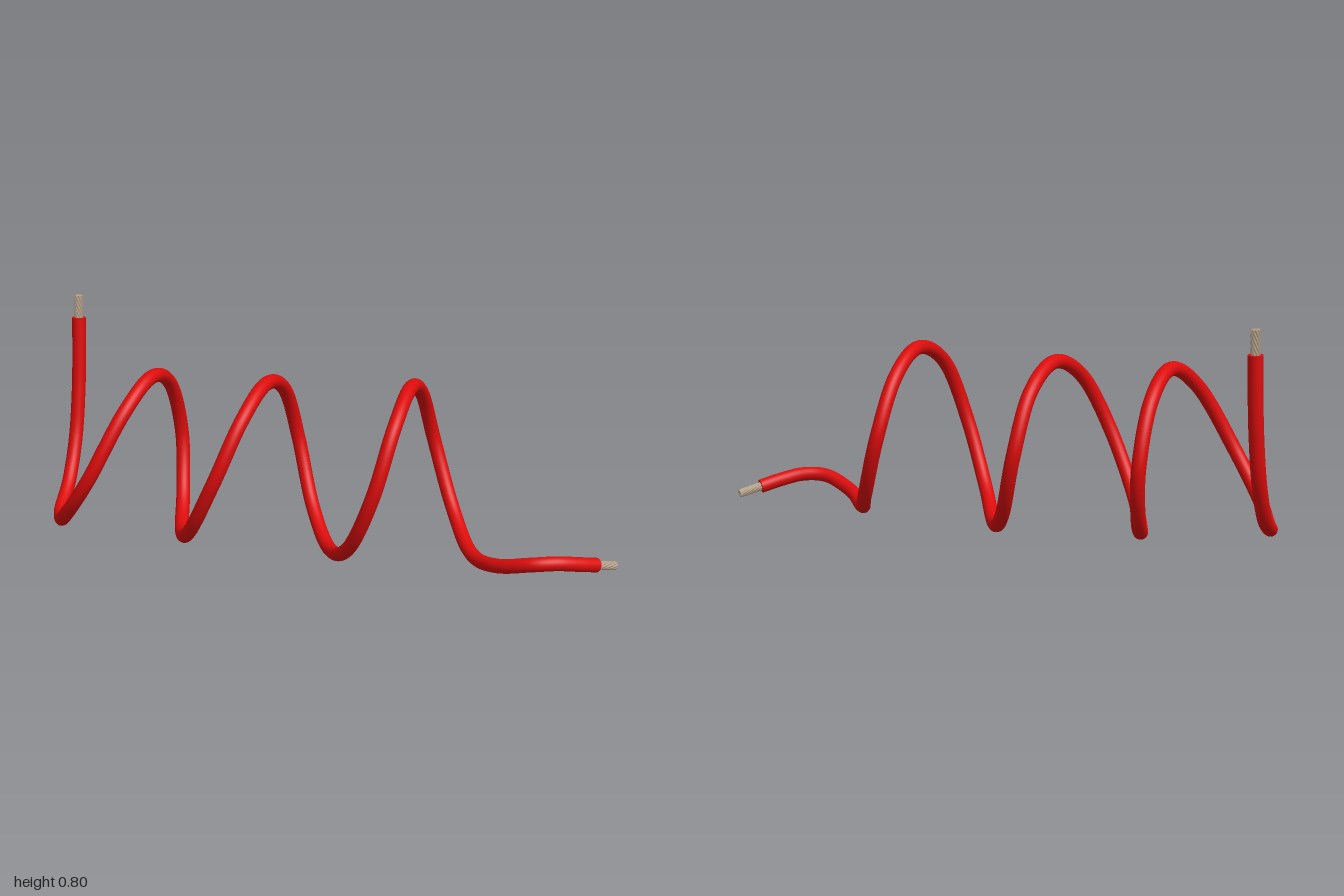
import * as THREE from 'three';

const SLEEVE_RADIUS = 0.0245;
const WIRE_RADIUS = 0.0155;

// Centre line of the cable: upright start, three coils, flat tail
const PATH = [
  [-0.965, 0.72, -0.291], [-0.966, 0.6, -0.283], [-0.969, 0.45, -0.266], [-0.974, 0.29, -0.228],
  [-0.975, 0.16, -0.14], [-0.967, 0.095, -0.01], [-0.945, 0.09, 0.06], [-0.895, 0.14, 0.165],
  [-0.785, 0.3, 0.235], [-0.675, 0.52, 0.16],
  [-0.62, 0.605, 0.01], [-0.602, 0.53, -0.175], [-0.588, 0.32, -0.265], [-0.566, 0.125, -0.18],
  [-0.525, 0.05, 0.0], [-0.45, 0.12, 0.18], [-0.34, 0.335, 0.255], [-0.262, 0.525, 0.185],
  [-0.217, 0.605, 0.01], [-0.192, 0.53, -0.18], [-0.163, 0.33, -0.267], [-0.095, 0.115, -0.175],
  [0.0, 0.027, 0.01], [0.105, 0.11, 0.21], [0.2, 0.325, 0.288], [0.256, 0.54, 0.215],
  [0.28, 0.623, 0.02], [0.293, 0.55, -0.16], [0.322, 0.36, -0.257], [0.405, 0.135, -0.172],
  [0.5, 0.045, 0.025], [0.6, 0.063, 0.155], [0.72, 0.097, 0.209], [0.8, 0.1, 0.19],
  [0.87, 0.084, 0.143], [0.925, 0.066, 0.092],
].map((p) => new THREE.Vector3(...p));

// Turns a +y axis part so that it points along a direction from a position
function place(object, position, direction) {
  object.position.copy(position);
  object.quaternion.setFromUnitVectors(new THREE.Vector3(0, 1, 0), direction);
  return object;
}

// Bare end: a core with thin strands twisted round it
function bareWire(length, metal) {
  const group = new THREE.Group();
  const strands = 8;
  const thin = 0.0055;
  const ring = WIRE_RADIUS - thin;
  const core = new THREE.Mesh(new THREE.CylinderGeometry(ring, ring, length, 16), metal);
  core.name = 'wireCore';
  core.position.y = length / 2;
  group.add(core);
  for (let s = 0; s < strands; s++) {
    const points = [];
    for (let i = 0; i <= 12; i++) {
      const a = (s / strands) * Math.PI * 2 + (i / 12) * Math.PI * 0.9;
      points.push(new THREE.Vector3(Math.cos(a) * ring, (i / 12) * length, Math.sin(a) * ring));
    }
    const curve = new THREE.CatmullRomCurve3(points);
    const strand = new THREE.Mesh(new THREE.TubeGeometry(curve, 24, thin, 8), metal);
    strand.name = 'wireStrand';
    group.add(strand);
    // Rounded tip closing the strand
    const tip = new THREE.Mesh(new THREE.SphereGeometry(thin, 8, 6), metal);
    tip.name = 'strandTip';
    tip.position.copy(points[12]);
    tip.scale.y = 0.3;
    group.add(tip);
  }
  return group;
}

export function createModel() {
  const red = new THREE.MeshStandardMaterial({ color: 0xdc0c0c });
  red.name = 'redInsulation';
  const metal = new THREE.MeshStandardMaterial({ color: 0xb5a08a });
  metal.name = 'bareMetal';

  const model = new THREE.Group();
  model.name = 'coiledCable';

  // Insulated sleeve
  const path = new THREE.CatmullRomCurve3(PATH, false, 'centripetal');
  const sleeve = new THREE.Mesh(new THREE.TubeGeometry(path, 400, SLEEVE_RADIUS, 24), red);
  sleeve.name = 'sleeve';
  model.add(sleeve);

  // Closed sleeve ends and bare wires
  const ends = [
    ['upperEnd', path.getPointAt(0), path.getTangentAt(0).negate(), 0.08],
    ['tailEnd', path.getPointAt(1), path.getTangentAt(1), 0.082],
  ];
  for (const [name, position, direction, length] of ends) {
    const end = new THREE.Group();
    end.name = name;
    const cap = new THREE.Mesh(new THREE.CircleGeometry(SLEEVE_RADIUS, 24), red);
    cap.name = 'sleeveCap';
    cap.rotation.x = -Math.PI / 2;
    const wire = bareWire(length, metal);
    wire.name = 'bareWire';
    end.add(cap, wire);
    model.add(place(end, position, direction));
  }
  return model;
}
